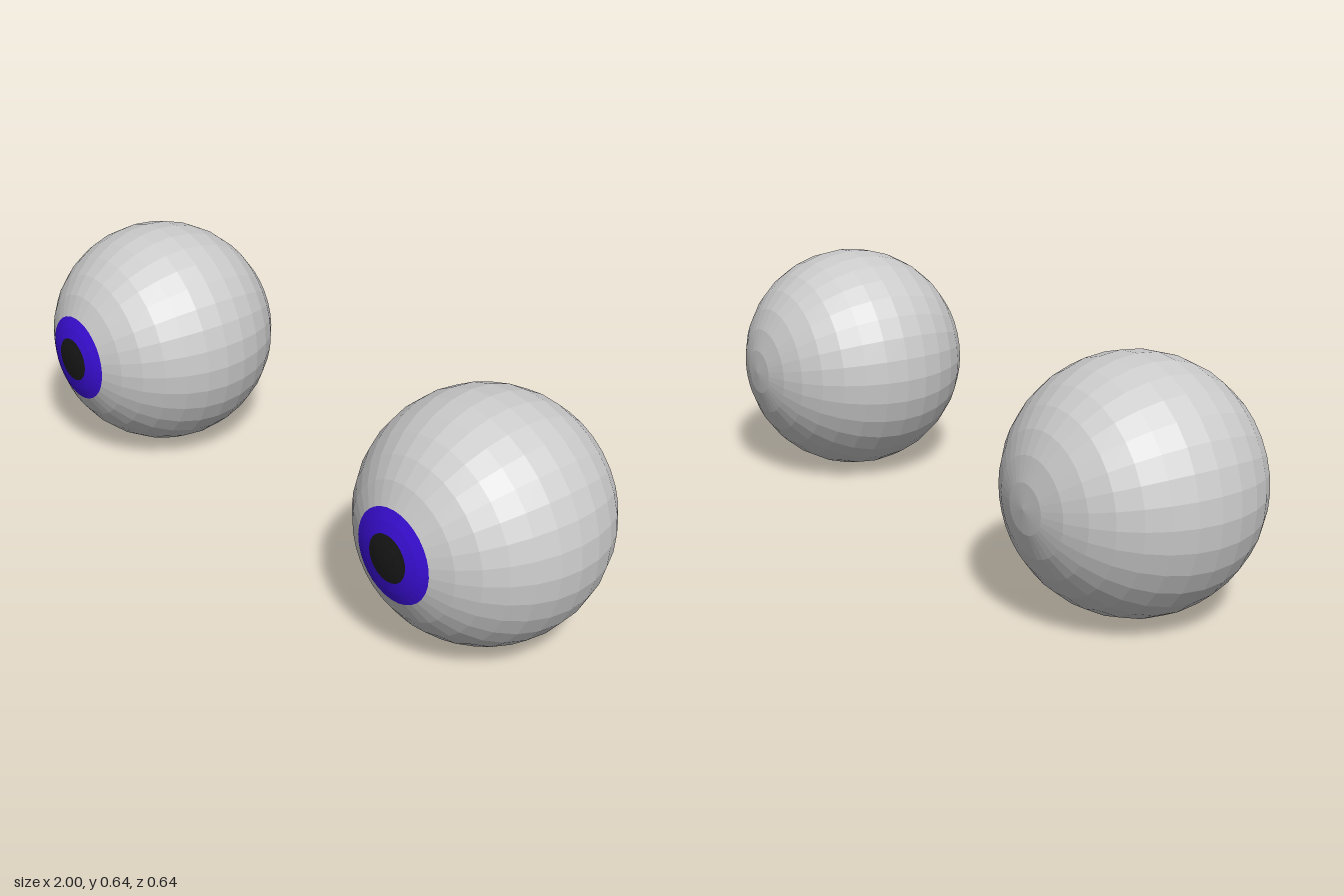
import * as THREE from 'three';

const RADIUS = 0.3225;
const SEGMENTS = 32;
const RINGS = 16;

// Band of a faceted sphere between two rings, counted from the front pole (+z)
function sphereBand(name, firstRing, lastRing, color) {
  const step = Math.PI / RINGS;
  const count = lastRing - firstRing;
  const geometry = new THREE.SphereGeometry(
    RADIUS, SEGMENTS, count, 0, Math.PI * 2, firstRing * step, count * step
  );
  geometry.rotateX(Math.PI / 2);
  const material = new THREE.MeshStandardMaterial({ color, flatShading: true });
  const mesh = new THREE.Mesh(geometry, material);
  mesh.name = name;
  return mesh;
}

function createEye(name, x) {
  const eye = new THREE.Group();
  eye.name = name;
  eye.add(
    sphereBand('pupil', 0, 1, 0x1a1a1a),
    sphereBand('iris', 1, 2, 0x3d10e0),
    sphereBand('eyeWhite', 2, RINGS, 0xcccccc)
  );
  eye.position.set(x, RADIUS, 0);
  return eye;
}

export function createModel() {
  const model = new THREE.Group();
  model.name = 'eyes';
  const offset = 1 - RADIUS;
  model.add(createEye('leftEye', offset), createEye('rightEye', -offset));
  return model;
}
